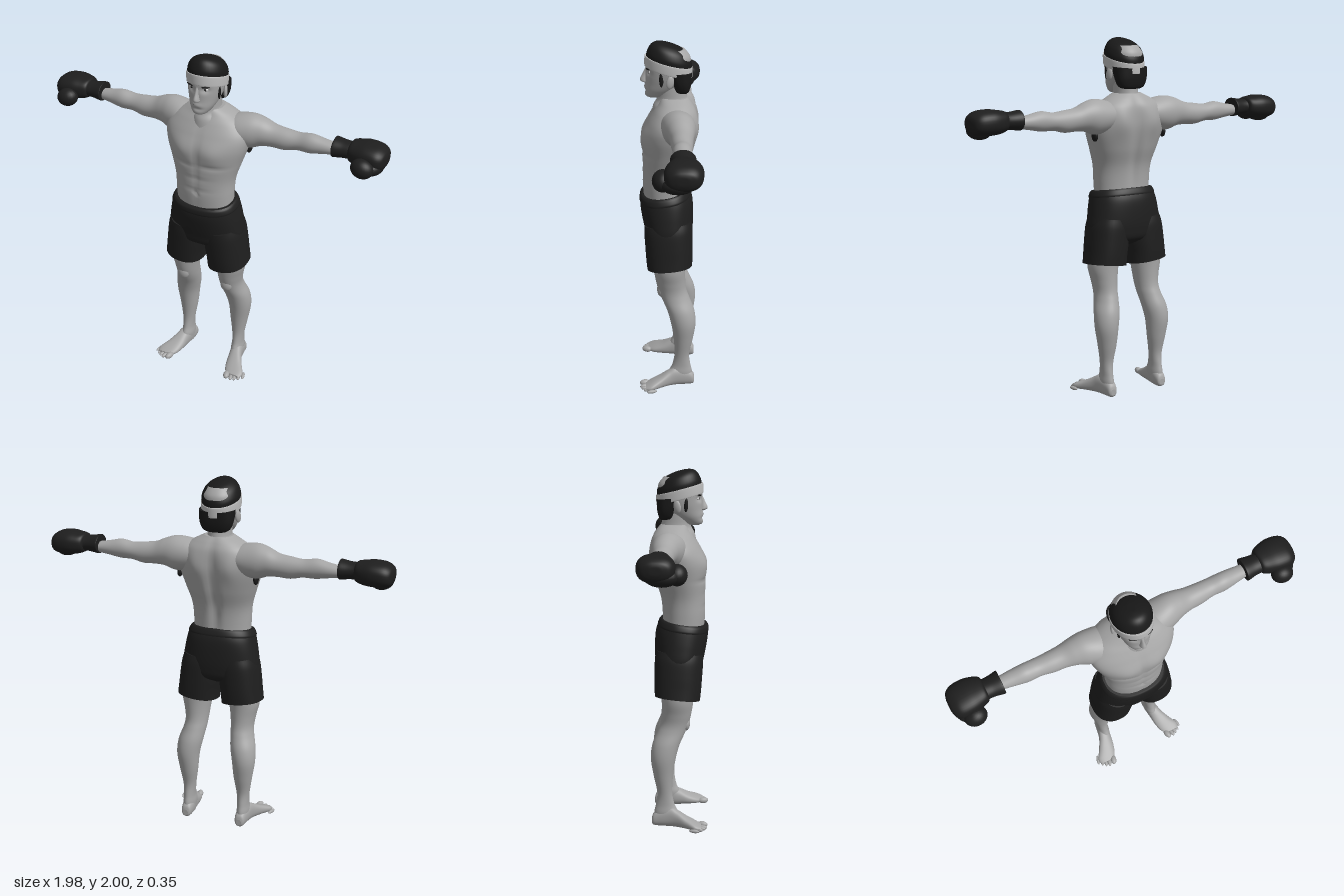
import * as THREE from 'three';

const mat = (name, color, extra = {}) => Object.assign(new THREE.MeshStandardMaterial({ color, ...extra }), { name });

// Smooth Catmull-Rom blend between section values
const blend = (a, b, c, d, t) =>
  0.5 * (2 * b + (c - a) * t + (2 * a - 5 * b + 4 * c - d) * t * t + (3 * b - a - 3 * c + d) * t * t * t);

// Loft along an axis (0 x, 1 y, 2 z). Each section: [t, uMin, uMax, vMin, vMax],
// where u and v are the next two axes in cyclic order. Sections run upward in t.
function loft(axis, sections, { power = 2, sculpt = null, radial = 40, steps = 6 } = {}) {
  const n = sections.length, rings = (n - 1) * steps + 1;
  const positions = [], index = [];
  const iu = (axis + 1) % 3, iv = (axis + 2) % 3;
  const at = (i) => sections[Math.max(0, Math.min(n - 1, i))];
  const bend = (c) => Math.sign(c) * Math.pow(Math.abs(c), 2 / power);
  const push = (t, u, v) => {
    const p = new THREE.Vector3().setComponent(axis, t).setComponent(iu, u).setComponent(iv, v);
    if (sculpt) sculpt(p);
    positions.push(p.x, p.y, p.z);
  };
  const section = (r) => {
    const i = Math.min(n - 2, Math.floor(r / steps)), f = r / steps - i;
    return at(i).map((_, k) => blend(at(i - 1)[k], at(i)[k], at(i + 1)[k], at(i + 2)[k], f));
  };
  const ring = ([t, u0, u1, v0, v1]) => {
    for (let j = 0; j < radial; j++) {
      const a = (j / radial) * Math.PI * 2;
      push(t, (u0 + u1) / 2 + (u1 - u0) / 2 * bend(Math.cos(a)), (v0 + v1) / 2 + (v1 - v0) / 2 * bend(Math.sin(a)));
    }
  };
  for (let r = 0; r < rings; r++) ring(section(r));
  for (let r = 0; r < rings - 1; r++) {
    for (let j = 0; j < radial; j++) {
      const a = r * radial + j, b = r * radial + (j + 1) % radial;
      index.push(a, b, a + radial, b, b + radial, a + radial);
    }
  }
  // End caps with their own corners
  for (const end of [0, 1]) {
    const s = sections[end ? n - 1 : 0], base = positions.length / 3;
    ring(s);
    push(s[0], (s[1] + s[2]) / 2, (s[3] + s[4]) / 2);
    for (let j = 0; j < radial; j++) {
      const a = base + j, b = base + (j + 1) % radial;
      index.push(base + radial, ...(end ? [a, b] : [b, a]));
    }
  }
  const g = new THREE.BufferGeometry();
  g.setAttribute('position', new THREE.Float32BufferAttribute(positions, 3));
  g.setIndex(index);
  g.computeVertexNormals();
  return g;
}

// Ellipsoid, rotated about its own centre
function blob(c, r, rot = [0, 0, 0]) {
  const g = new THREE.SphereGeometry(1, 24, 16);
  g.scale(...r).rotateX(rot[0]).rotateY(rot[1]).rotateZ(rot[2]).translate(...c);
  return g;
}

function mirrored(g) {
  const m = g.clone().scale(-1, 1, 1), ix = m.index.array;
  for (let i = 0; i < ix.length; i += 3) [ix[i], ix[i + 1]] = [ix[i + 1], ix[i]];
  m.computeVertexNormals();
  return m;
}

const bump = (d, w) => Math.exp(-(d * d) / (w * w));

export function createModel() {
  const skin = mat('skin', 0xa6a6a6), band = mat('headband cloth', 0xbebebe);
  const dark = mat('shorts and glove black', 0x1e1e1e), hair = mat('hair black', 0x191919);
  const white = mat('eye white', 0xd0d0d0);
  const model = new THREE.Group();
  model.name = 'boxer';
  const add = (name, g, m) => {
    const mesh = new THREE.Mesh(g, m);
    mesh.name = name;
    model.add(mesh);
  };
  const pair = (name, g, m) => {
    add('left ' + name, g, m);
    add('right ' + name, mirrored(g), m);
  };

  // Torso with chest, belly and back muscles
  add('torso', loft(1, [
    [1.08, -.09, .14, -.16, .16], [1.2, -.09, .15, -.165, .165], [1.3, -.10, .15, -.173, .173],
    [1.4, -.13, .152, -.203, .203], [1.5, -.15, .148, -.235, .235], [1.57, -.152, .122, -.24, .24],
    [1.63, -.145, .088, -.2, .2], [1.67, -.125, .062, -.14, .14], [1.7, -.1, .05, -.08, .08],
  ], {
    power: 2.2, radial: 80, steps: 8,
    sculpt: (p) => {
      const x = Math.abs(p.x), y = p.y;
      if (p.z > 0.02) {
        p.z += .013 * bump(x - .085, .07) * bump(y - 1.48, .06);
        p.z -= .006 * bump(x, .014) * bump(y - 1.42, .2);
        p.z -= .007 * bump(y - 1.4, .012) * bump(x - .09, .07);
        p.z -= .004 * (bump(y - 1.32, .01) + bump(y - 1.25, .01)) * bump(x, .08);
        p.z -= .012 * bump(x, .01) * bump(y - 1.23, .01);
      } else if (p.z < -0.03) {
        p.z += .022 * bump(x, .028) * bump(y - 1.4, .25);
        p.z -= .014 * bump(x - .1, .05) * bump(y - 1.55, .08);
      }
    },
  }), skin);
  add('neck', loft(1, [
    [1.6, -.13, .1, -.1, .1], [1.65, -.115, .09, -.085, .085], [1.69, -.097, .07, -.067, .067],
    [1.74, -.09, .07, -.064, .064], [1.8, -.09, .08, -.064, .064]]), skin);

  // Arms
  pair('arm', loft(0, [
    [.1, 1.52, 1.65, -.13, .04], [.17, 1.49, 1.67, -.14, .05], [.24, 1.485, 1.677, -.142, .035],
    [.3, 1.505, 1.662, -.135, .012], [.36, 1.51, 1.637, -.128, -.005], [.43, 1.508, 1.627, -.125, -.012],
    [.5, 1.523, 1.62, -.122, -.022], [.57, 1.523, 1.63, -.12, -.02], [.64, 1.535, 1.617, -.118, -.03],
    [.72, 1.547, 1.603, -.112, -.042]]), skin);
  pair('underarm hair', blob([.224, 1.475, -.05], [.014, .03, .025]), hair);

  // Boxing gloves
  pair('glove cuff', loft(0, [
    [.7, 1.542, 1.64, -.135, -.015], [.705, 1.537, 1.644, -.14, -.01], [.75, 1.543, 1.637, -.133, -.018],
    [.785, 1.545, 1.635, -.132, -.02], [.81, 1.54, 1.635, -.14, -.02]]), dark);
  pair('glove fist', loft(0, [
    [.785, 1.555, 1.625, -.125, -.03], [.795, 1.54, 1.643, -.148, -.012], [.83, 1.528, 1.65, -.165, .003],
    [.88, 1.522, 1.656, -.175, .015], [.94, 1.522, 1.65, -.17, .015], [.975, 1.535, 1.632, -.15, -.005],
    [.988, 1.56, 1.612, -.115, -.04], [.99, 1.58, 1.59, -.09, -.07]], { power: 2.4 }), dark);
  pair('glove fingers', blob([.92, 1.547, -.05], [.06, .047, .085]), dark);
  pair('glove thumb', blob([.888, 1.555, .022], [.062, .052, .052], [0, 0, -.25]), dark);

  // Shorts: hips, two legs and a waistband
  const waistTilt = (p) => { p.y -= p.z * .14 * THREE.MathUtils.smoothstep(p.y, .95, 1.15); };
  add('shorts hips', loft(1, [
    [.85, -.05, .05, -.08, .08], [.89, -.115, .125, -.205, .205], [.95, -.13, .143, -.222, .222],
    [1.03, -.132, .157, -.212, .212], [1.1, -.125, .165, -.198, .198], [1.15, -.105, .163, -.185, .185],
  ], { power: 2.3, radial: 64, sculpt: waistTilt }), dark);
  add('waistband', loft(1, [
    [1.125, -.116, .167, -.193, .193], [1.135, -.115, .169, -.193, .193], [1.155, -.106, .167, -.184, .184],
    [1.165, -.098, .158, -.175, .175]], { power: 2.3, radial: 64, sculpt: waistTilt }), dark);
  pair('shorts leg', loft(1, [
    [.742, -.128, .124, .018, .25], [.8, -.13, .13, .014, .242], [.87, -.13, .135, .004, .234],
    [.95, -.128, .14, 0, .222], [1, -.12, .14, .01, .205]], {
    power: 2.3,
    sculpt: (p) => { p.y += (p.x - .13) * .12 - p.z * .1; },
  }), dark);

  // Legs
  pair('leg', loft(1, [
    [.02, -.13, -.02, .138, .195], [.08, -.132, 0, .133, .203], [.13, -.122, -.018, .136, .2],
    [.2, -.115, -.03, .13, .205], [.3, -.135, -.025, .115, .222], [.4, -.15, -.01, .105, .237],
    [.48, -.142, .012, .09, .232], [.55, -.115, .043, .08, .212], [.6, -.097, .062, .075, .206],
    [.66, -.09, .077, .068, .215], [.75, -.09, .09, .055, .232], [.9, -.1, .1, .04, .22]]), skin);
  pair('kneecap', blob([.14, .6, .045], [.036, .045, .025]), skin);
  pair('foot', loft(2, [
    [-.145, .152, .183, .015, .05], [-.135, .14, .195, .004, .075], [-.1, .134, .202, 0, .1],
    [-.04, .137, .212, 0, .115], [0, .143, .225, 0, .097], [.05, .15, .252, 0, .068],
    [.1, .165, .28, 0, .045], [.135, .19, .272, .005, .028]], { power: 2.3 }), skin);
  for (let i = 0; i < 5; i++) {
    const size = i ? .0125 - i * .0006 : .018;
    const x = i ? .203 + i * .02 : .194, z = i ? .143 - i * i * .0028 : .142;
    pair('toe ' + (i + 1), blob([x, size, z], [size, size, .03], [0, .25, 0]), skin);
  }

  // Head with eye sockets, cheeks and jaw
  add('head', loft(1, [
    [1.697, .06, .115, -.025, .025], [1.708, .02, .132, -.043, .043], [1.74, -.03, .135, -.066, .066],
    [1.78, -.075, .131, -.082, .082], [1.82, -.1, .13, -.092, .092], [1.87, -.112, .13, -.097, .097],
    [1.92, -.11, .12, -.094, .094], [1.96, -.08, .09, -.07, .07]], {
    radial: 72, power: 2.1, steps: 8,
    sculpt: (p) => {
      if (p.z < .05) return;
      const x = Math.abs(p.x);
      p.z -= .013 * bump(x - .04, .022) * bump(p.y - 1.843, .016);
      p.z -= .006 * bump(x, .03) * bump(p.y - 1.735, .01);
      p.z += .004 * bump(x, .025) * bump(p.y - 1.757, .012);
    },
  }), skin);
  add('nose', loft(1, [
    [1.776, .11, .138, -.01, .01], [1.783, .11, .154, -.018, .018], [1.795, .11, .16, -.016, .016],
    [1.825, .11, .146, -.01, .01], [1.86, .105, .13, -.009, .009]], { radial: 20 }), skin);
  add('mouth', blob([0, 1.757, .128], [.024, .003, .009]), dark);
  pair('ear', blob([.1, 1.803, -.004], [.011, .036, .021], [-.2, .35, 0]), skin);
  pair('eye', blob([.041, 1.844, .104], [.015, .008, .01]), white);
  pair('iris', blob([.04, 1.844, .111], [.006, .007, .005]), dark);
  pair('eyebrow', blob([.043, 1.862, .116], [.024, .005, .009], [0, .3, .12]), hair);

  // Hair and tilted headband
  const headTilt = (p) => { p.y += p.z * .26; };
  add('hair top', loft(1, [
    [1.86, -.118, .125, -.1, .1], [1.89, -.119, .126, -.104, .104], [1.92, -.117, .121, -.103, .103],
    [1.955, -.1, .104, -.088, .088], [1.978, -.07, .08, -.06, .06], [1.989, -.025, .045, -.025, .025],
    [1.99, 0, .02, -.006, .006]], { sculpt: headTilt }), hair);
  add('headband', loft(1, [
    [1.838, -.119, .133, -.102, .102], [1.842, -.122, .136, -.106, .106],
    [1.888, -.123, .135, -.108, .108], [1.893, -.119, .131, -.104, .104]], { radial: 56, sculpt: headTilt }), band);
  add('hair back', loft(1, [
    [1.735, -.098, -.03, -.06, .06], [1.75, -.108, -.022, -.08, .08], [1.79, -.117, -.008, -.095, .095],
    [1.85, -.12, .02, -.101, .101]], { power: 2.6, sculpt: (p) => { p.y += p.z * .1; } }), hair);
  pair('sideburn', blob([.087, 1.815, .043], [.008, .042, .012], [0, .25, 0]), hair);

  return model;
}
